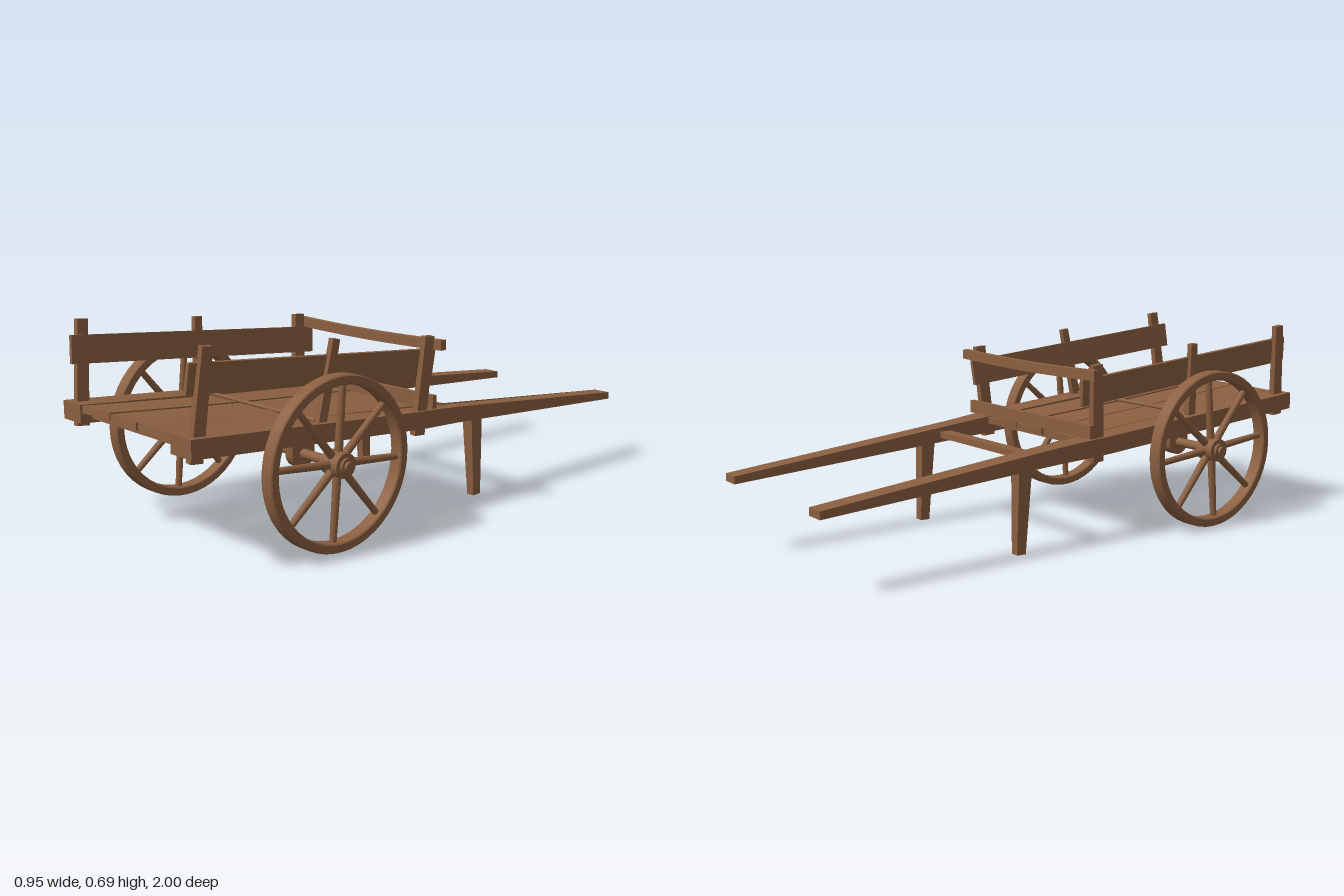
import * as THREE from 'three';
import { toCreasedNormals } from 'three/addons/utils/BufferGeometryUtils.js';

const wood = new THREE.MeshStandardMaterial({ color: 0x8b5f40 });
const V = (x, y, z) => new THREE.Vector3(x, y, z);

// Height of the tilted cart frame's centre line at depth z
const frameY = (z) => 0.326 + 0.072 * z;

function mesh(name, geometry) {
  const m = new THREE.Mesh(geometry, wood);
  m.name = name;
  return m;
}

// Rectangular beam from a to b; endScale tapers it at b, sag bends it down in the middle
function beam(name, a, b, width, height, { endScale = 1, sag = 0, up = V(0, 1, 0) } = {}) {
  const length = a.distanceTo(b);
  const g = new THREE.BoxGeometry(width, height, length, 1, 1, sag ? 8 : 1);
  const p = g.attributes.position;
  for (let i = 0; i < p.count; i++) {
    const t = p.getZ(i) / length + 0.5;
    const s = 1 + (endScale - 1) * t;
    p.setXY(i, p.getX(i) * s, p.getY(i) * s - sag * Math.sin(Math.PI * t));
  }
  g.computeVertexNormals();
  const m = mesh(name, g);
  m.position.copy(a).add(b).multiplyScalar(0.5);
  m.up.copy(up);
  m.lookAt(m.position.clone().add(b).sub(a));
  return m;
}

// Upright beam: width along x, depth along z
const post = (name, a, b, width, depth, endScale = 1) =>
  beam(name, a, b, width, depth, { endScale, up: V(0, 0, 1) });

// Round bar along x
function rod(name, x0, x1, y, z, radius, sides = 16) {
  const g = new THREE.CylinderGeometry(radius, radius, x1 - x0, sides);
  g.rotateZ(Math.PI / 2);
  const m = mesh(name, g);
  m.position.set((x0 + x1) / 2, y, z);
  return m;
}

// Side rail that narrows into a pulling shaft
function railGeometry(side) {
  const outline = [
    [0.353, 0.995], [0.35, 0.5], [0.345, 0.1], [0.342, 0.04], [0.333, -0.04], [0.327, -0.12],
    [0.325, -0.2], [0.32, -1], [0.255, -1], [0.252, -0.2], [0.25, 0], [0.25, 0.5], [0.25, 0.995],
  ];
  const shape = new THREE.Shape(outline.map(([x, z]) => new THREE.Vector2(side * x, -z)));
  const g = new THREE.ExtrudeGeometry(shape, { depth: 1, bevelEnabled: false });
  g.rotateX(-Math.PI / 2);
  const p = g.attributes.position;
  for (let i = 0; i < p.count; i++) {
    const z = p.getZ(i);
    const thick = z > 0 ? 0.06 : 0.06 + 0.034 * z;
    p.setY(i, frameY(z) + (p.getY(i) - 0.5) * thick);
  }
  g.computeVertexNormals();
  return toCreasedNormals(g, 0.5);
}

// Wheel in its own space, axle along x
function wheel() {
  const group = new THREE.Group();
  group.name = 'wheel';
  const ring = new THREE.Shape().absarc(0, 0, 0.274, 0, Math.PI * 2);
  ring.holes.push(new THREE.Path().absarc(0, 0, 0.251, 0, Math.PI * 2, true));
  const g = new THREE.ExtrudeGeometry(ring, {
    depth: 0.042, bevelThickness: 0.004, bevelSize: 0.004, bevelSegments: 1, curveSegments: 24,
  });
  g.translate(0, 0, -0.021);
  g.rotateY(Math.PI / 2);
  group.add(mesh('rim', toCreasedNormals(g, 0.6)));
  group.add(rod('hub', -0.038, 0.038, 0, 0, 0.04));
  group.add(rod('hubCap', -0.048, 0.048, 0, 0, 0.025));
  for (let i = 0; i < 8; i++) {
    const s = new THREE.CylinderGeometry(0.011, 0.014, 0.235, 8);
    s.translate(0, 0.14, 0);
    const spoke = mesh('spoke', s);
    spoke.rotation.x = (i * Math.PI) / 4 - 0.087;
    group.add(spoke);
  }
  return group;
}

// Block with a rounded lower end that holds the axle
function axleBlock() {
  const s = new THREE.Shape();
  s.moveTo(-0.045, 0.095);
  s.lineTo(-0.045, 0);
  s.absarc(0, 0, 0.045, Math.PI, Math.PI * 2, false);
  s.lineTo(0.045, 0.09);
  const g = new THREE.ExtrudeGeometry(s, { depth: 0.036, bevelEnabled: false });
  g.translate(0, 0, -0.018);
  g.rotateY(Math.PI / 2);
  return mesh('axleBlock', toCreasedNormals(g, 0.6));
}

export function createModel() {
  const cart = new THREE.Group();
  cart.name = 'handcart';

  // Deck planks
  const planks = [[-0.163, 0.16, 0.99, 0.03], [0, 0.142, 0.995, -0.01], [0.16, 0.172, 0.99, -0.04]];
  for (const [x, w, end, roll] of planks) {
    const plank = beam('deckPlank', V(x, frameY(0.01) + 0.019, 0.01), V(x, frameY(end) + 0.019, end),
      w, 0.024, { sag: 0.004 });
    plank.rotateZ(roll);
    cart.add(plank);
  }
  cart.add(rod('deckStrip', -0.25, 0.31, frameY(0.5) + 0.033, 0.5, 0.007, 8));

  // Cross bars under the deck and between the shafts
  for (const z of [0.93, 0.56, 0.08]) {
    const y = frameY(z) - 0.003;
    cart.add(beam('crossBar', V(-0.26, y, z), V(0.26, y, z), 0.05, 0.024));
  }
  cart.add(beam('shaftCrossBar', V(-0.26, 0.312, -0.178), V(0.26, 0.312, -0.178), 0.045, 0.022));

  // Axle and wheels
  cart.add(rod('axle', -0.475, 0.475, 0.28, 0.504, 0.016));

  // Rear rails
  cart.add(beam('upperRearBar', V(-0.375, 0.58, 0), V(0.375, 0.58, 0), 0.024, 0.034, { sag: 0.007 }));
  cart.add(beam('lowerRearBar', V(-0.345, 0.385, 0.008), V(0.345, 0.385, 0.008), 0.018, 0.045));

  for (const side of [1, -1]) {
    cart.add(mesh('sideRail', railGeometry(side)));

    const w = wheel();
    w.position.set(side * 0.416, 0.28, 0.504);
    cart.add(w);

    const block = axleBlock();
    block.position.set(side * 0.237, 0.28, 0.504);
    cart.add(block);

    // Standing leg
    cart.add(post('leg', V(side * 0.287, 0.3, -0.243), V(side * 0.289, 0, -0.257), 0.044, 0.054, 0.66));

    // Side board, leaning outward with its posts
    const lean = V(side * 0.1, 1, 0).normalize();
    cart.add(beam('sideBoard', V(side * 0.312, 0.515, -0.012), V(side * 0.317, 0.594, 0.98),
      0.014, 0.092, { up: lean }));

    // Posts
    cart.add(post('frontPost', V(side * 0.312, 0.345, 0.957), V(side * 0.339, 0.685, 0.925), 0.024, 0.044, 0.85));
    cart.add(post('rearPost', V(side * 0.312, 0.275, 0.056), V(side * 0.334, 0.61, 0.033), 0.024, 0.046, 0.9));
    const topZ = side > 0 ? 0.44 : 0.485;
    cart.add(post('middlePost', V(side * 0.314, 0.345, 0.495), V(side * 0.332, 0.648, topZ), 0.024, 0.034, 0.85));
  }
  return cart;
}
